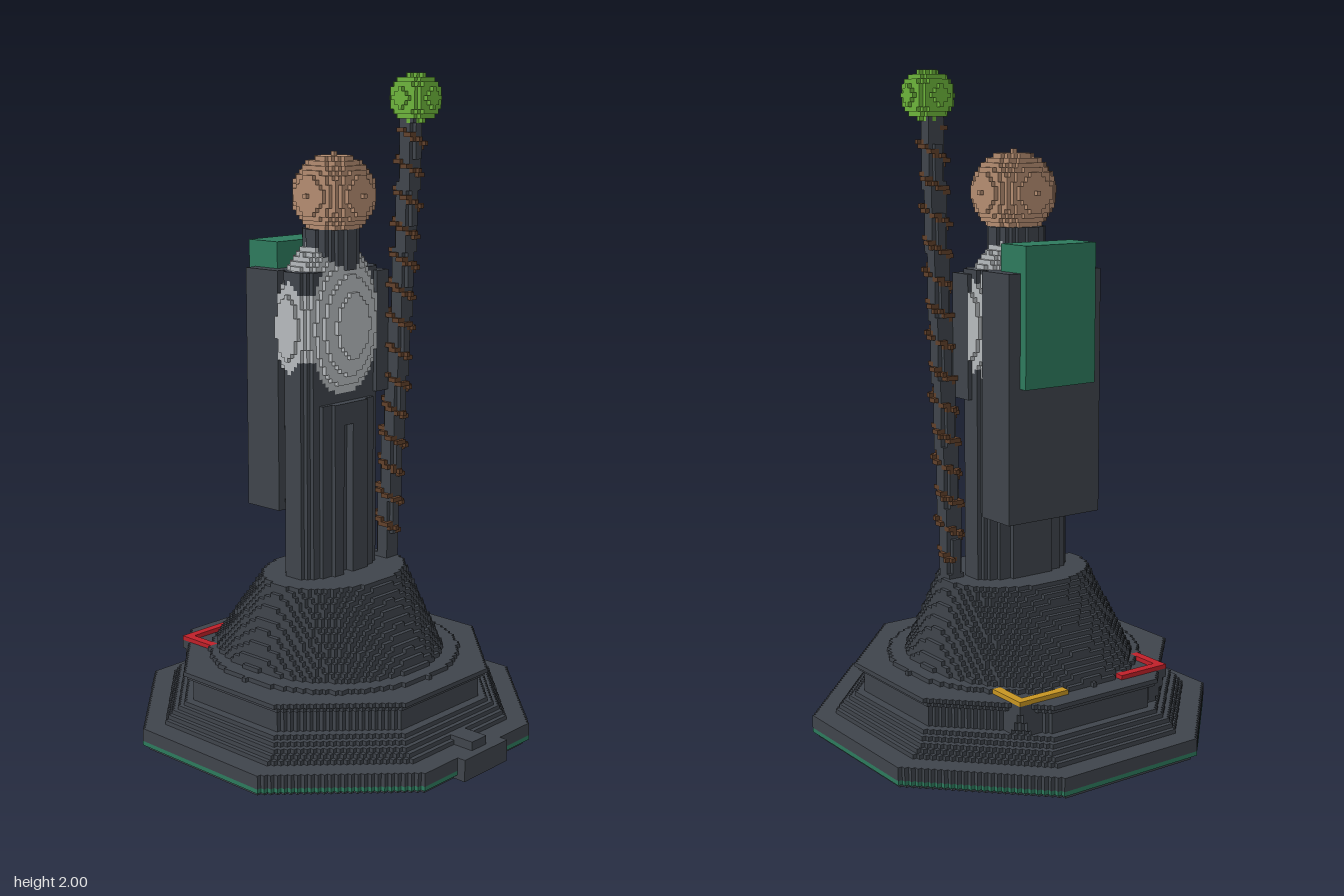
import * as THREE from 'three';

// Block-built statue: every part is a solid rule sampled on one grid of small cubes.
const S = 2 / 150;                 // cube size
const NX = 91, NY = 152, NZ = 93;  // grid size
const OX = 45, OZ = 45;            // grid index of x = 0 and of the plinth's axis

const mat = (name, color) => {
  const m = new THREE.MeshStandardMaterial({ color });
  m.name = name;
  return m;
};

const sq = (v) => v * v;
const ball = (x, y, z, cx, cy, cz, rx, ry = rx, rz = rx) =>
  sq((x - cx) / rx) + sq((y - cy) / ry) + sq((z - cz) / rz) <= 1;
const octagon = (x, z, h) =>
  Math.max(Math.abs(x), Math.abs(z), (Math.abs(x) + Math.abs(z)) / Math.SQRT2) <= h + 0.3;

export function createModel() {
  const stone = mat('dark stone', 0x3f444b);
  const green = mat('deep green', 0x2d7a5d);
  const white = mat('pale grey', 0xb6babd);
  const skin = mat('skin', 0xb48c70);
  const lime = mat('lime', 0x6cb33a);
  const brown = mat('brown', 0x61402a);
  const red = mat('red', 0xbf2029);
  const gold = mat('gold', 0xc79522);

  const grid = new Uint8Array(NX * NY * NZ);
  const parts = [];
  const at = (x, y, z) => (y + 1) * NX * NZ + (z + OZ) * NX + x + OX;

  // Fill the cubes within the inclusive bounds that satisfy the rule; later parts win
  function add(name, material, [x0, x1], [y0, y1], [z0, z1], rule = () => true) {
    let id = parts.findIndex((p) => p.name === name) + 1;
    if (!id) id = parts.push({ name, material });
    for (let y = y0; y <= y1; y++)
      for (let z = z0; z <= z1; z++)
        for (let x = x0; x <= x1; x++)
          if (rule(x, y, z)) grid[at(x, y, z)] = id;
  }

  // Stepped octagonal plinth, half-width per layer
  const steps = [42, 43, 43, 43, 43, 38.5, 37.5, 36.5, 35.5, 34,
    32, 32, 32, 32, 32, 33, 34];
  steps.forEach((h, y) =>
    add('plinth', stone, [-43, 43], [y, y], [-43, 43], (x, _, z) => octagon(x, z, h)));
  add('plinthStripe', green, [-43, 43], [1, 1], [-43, 43],
    (x, y, z) => octagon(x, z, 43) && !octagon(x, z, 42));
  add('plinthDisc', stone, [-29, 29], [17, 17], [-29, 29], (x, y, z) => Math.hypot(x, z) <= 29);

  // Front plaque and its spout
  add('plaque', stone, [-7, 7], [0, 4], [43, 45]);
  add('plaqueSpout', stone, [-2, 2], [5, 6], [34, 43]);

  // Rear corner gussets with coloured angle brackets
  for (const [side, material, tag] of [[-1, red, 'right'], [1, gold, 'left']]) {
    const span = (a, b) => (side > 0 ? [a, b] : [-b, -a]);
    add(tag + 'Gusset', stone, span(8, 20), [6, 16], [-30, -18],
      (x, y, z) => Math.abs(x) - z <= 50.5 - (16 - y) * 0.45);
    add(tag + 'Bracket', material, span(8, 20), [17, 17], [-30, -29]);
    add(tag + 'Bracket', material, span(19, 20), [17, 17], [-30, -21]);
  }

  // Sloping mound under the figure
  add('mound', stone, [-27, 27], [17, 36], [-32, 26], (x, y, z) => {
    const t = (y - 17) / 19;
    return ball(x, 0, z, 0, 0, -2 + 2 * t, 25.5 - 7.2 * t, 1, 28 - 13.3 * t);
  });

  // Robe with a front groove
  add('robe', stone, [-12, 12], [37, 106], [-8, 6], (x, y, z) =>
    sq(x / 13) + sq((z + 1) / 6.6) <= 1 &&
    !(Math.abs(x + 1) <= 1 && z > 3 && y < 72) && !(y > 76 && z > 3));
  add('neck', stone, [-6, 6], [107, 115], [-7, 5], (x, y, z) => Math.hypot(x, z + 1) <= 6.3);

  // Beard and shoulders
  add('beard', white, [-13, 13], [75, 113], [-8, 7],
    (x, y, z) => ball(x, y, z, 0, 94, -2, 14, 19.5, 8.6));
  add('sleeve', stone, [10, 13], [78, 105], [-1, 4]);

  // Back pack with folded green panel
  add('backPack', stone, [-12, 12], [52, 106], [-15, -6]);
  add('backPanel', green, [-9, 9], [82, 112], [-17, -16]);
  add('backPanel', green, [-9, 9], [107, 112], [-15, -9]);

  add('head', skin, [-9, 9], [114, 132], [-9, 9], (x, y, z) => ball(x, y, z, 0, 123, 0, 9));

  // Leaning staff, spiral vine and orb
  const lean = (y) => 2.5 + (7 * (y - 37)) / 102;
  add('staff', stone, [12, 19], [37, 139], [-2, 14],
    (x, y, z) => Math.hypot(x - 15.5, z - lean(y)) <= 2.15);
  add('staffVine', brown, [11, 20], [41, 137], [-2, 15], (x, y, z) => {
    const a = (y / 7) * Math.PI * 2;
    return Math.hypot(x - 15.5 - 2.2 * Math.cos(a), z - lean(y) - 2.2 * Math.sin(a)) <= 1.15;
  });
  add('staffOrb', lime, [11, 21], [139, 149], [5, 15],
    (x, y, z) => ball(x, y, z, 16, 144, 10, 5.45));

  // Skin the grid: one quad for every exposed cube face
  const buffers = parts.map(() => ({ pos: [], nor: [], idx: [] }));
  const stride = [1, NX * NZ, NX];
  for (let y = 0; y < 150; y++)
    for (let z = -43; z <= 45; z++)
      for (let x = -43; x <= 43; x++) {
        const here = at(x, y, z);
        if (!grid[here]) continue;
        const b = buffers[grid[here] - 1];
        const low = [x - 0.5, y, z - 1.5];
        for (let d = 0; d < 3; d++)
          for (const sign of [-1, 1]) {
            if (grid[here + sign * stride[d]]) continue;
            const u = (d + 1) % 3, v = (d + 2) % 3, n = b.pos.length / 3;
            for (const [p, q] of [[0, 0], [1, 0], [1, 1], [0, 1]]) {
              const c = [...low];
              c[u] += p;
              c[v] += q;
              if (sign > 0) c[d] += 1;
              b.pos.push(c[0] * S, c[1] * S, c[2] * S);
              for (let e = 0; e < 3; e++) b.nor.push(e === d ? sign : 0);
            }
            if (sign > 0) b.idx.push(n, n + 1, n + 2, n, n + 2, n + 3);
            else b.idx.push(n, n + 2, n + 1, n, n + 3, n + 2);
          }
      }

  const model = new THREE.Group();
  model.name = 'statue';
  parts.forEach(({ name, material }, i) => {
    const { pos, nor, idx } = buffers[i];
    if (!idx.length) return;
    const g = new THREE.BufferGeometry();
    g.setAttribute('position', new THREE.Float32BufferAttribute(pos, 3));
    g.setAttribute('normal', new THREE.Float32BufferAttribute(nor, 3));
    g.setIndex(idx);
    const mesh = new THREE.Mesh(g, material);
    mesh.name = name;
    model.add(mesh);
  });
  return model;
}
